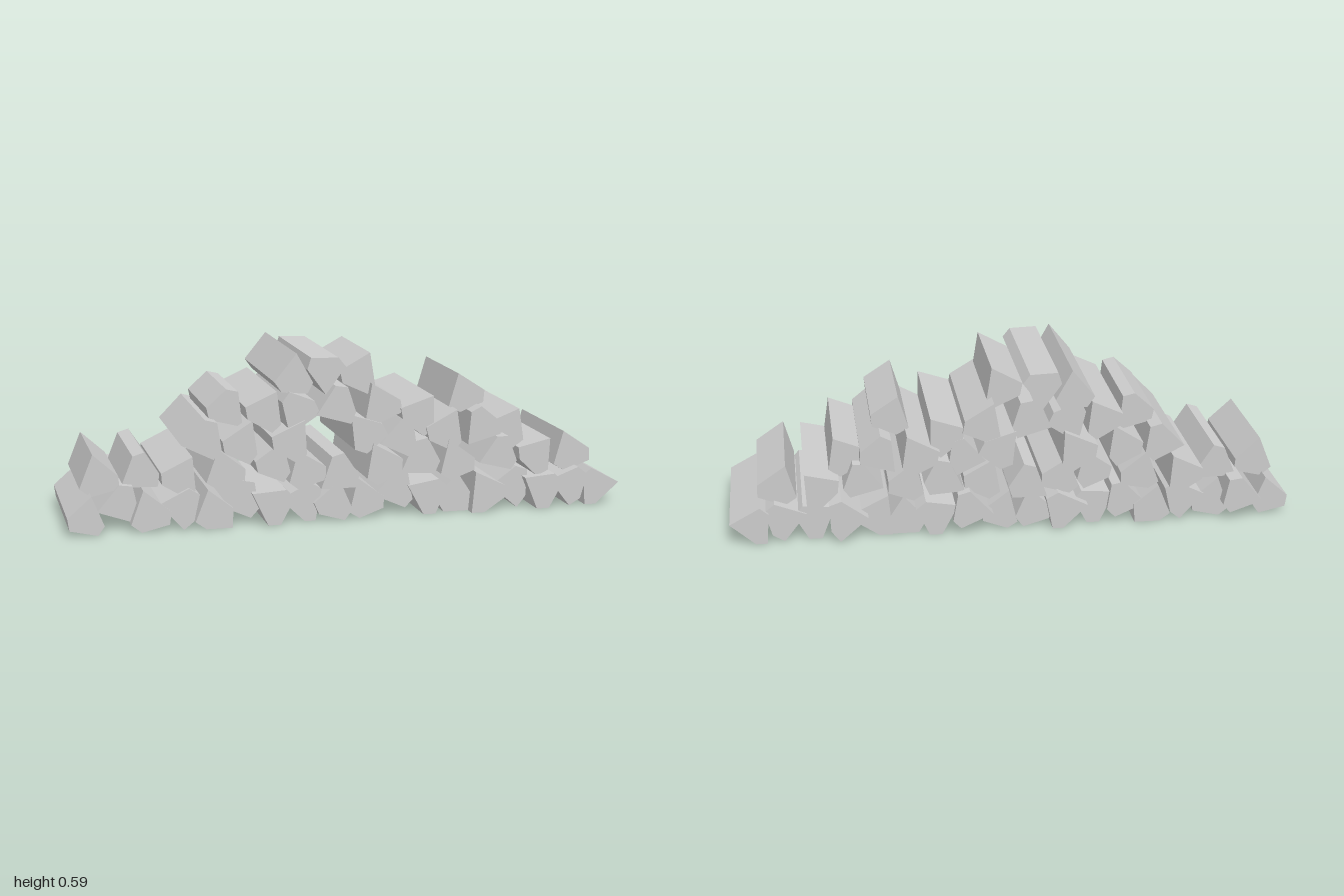
import * as THREE from 'three';

// Small seeded generator for natural variation between logs
let seed = 7;
const rand = (a, b) => {
  seed = (seed * 16807) % 2147483647;
  return a + (b - a) * (seed / 2147483647);
};

// Each log: x, y, direction of the split edge in degrees, then optional back and front z
const courses = {
  groundLog: [
    [-0.935, 0.075, 75, -0.24, 0.285], [-0.82, 0.095, 195, -0.29, 0.24], [-0.72, 0.075, 105, -0.24, 0.28],
    [-0.615, 0.085, 170], [-0.5, 0.075, 105, -0.26, 0.285], [-0.4, 0.09, 190],
    [-0.295, 0.08, 150, -0.24, 0.285], [-0.185, 0.075, 170], [-0.07, 0.08, 75], [0.045, 0.075, 110],
    [0.155, 0.095, 190, -0.29, 0.25], [0.27, 0.08, 155], [0.385, 0.075, 85], [0.485, 0.085, 120, -0.25, 0.285],
    [0.59, 0.09, 180, -0.29, 0.24], [0.695, 0.085, 150, -0.25, 0.28], [0.805, 0.085, 165],
    [0.925, 0.075, 5, -0.27, 0.26],
  ],
  secondLog: [
    [-0.885, 0.2, 105, -0.18, 0.23], [-0.745, 0.195, 215, -0.22, 0.21], [-0.605, 0.19, 60, -0.27, 0.26],
    [-0.455, 0.2, 105], [-0.275, 0.225, 70], [-0.175, 0.195, 110],
    [-0.055, 0.165, 215], [0.105, 0.2, 115], [0.245, 0.2, 210], [0.375, 0.2, 110],
    [0.53, 0.21, 200], [0.69, 0.2, 50, -0.27, 0.25], [0.825, 0.2, 110, -0.22, 0.22],
  ],
  thirdLog: [
    [-0.53, 0.31, 190, -0.27, 0.26], [-0.39, 0.3, 65], [-0.215, 0.3, 60], [0.045, 0.315, 130],
    [0.17, 0.28, 190], [0.345, 0.31, 65], [0.47, 0.31, 230], [0.595, 0.3, 60, -0.21, 0.21],
  ],
  fourthLog: [
    [-0.43, 0.4, -50, -0.2, 0.2], [-0.31, 0.41, 60], [-0.2, 0.39, 250], [-0.06, 0.41, 200],
    [0.105, 0.41, 115, -0.26, 0.25], [0.25, 0.37, 55, -0.25, 0.26], [0.425, 0.43, 110, -0.19, 0.21],
  ],
  topLog: [
    [-0.205, 0.52, 85, -0.285, 0.25], [-0.1, 0.525, -90, -0.26, 0.27], [0.04, 0.52, 65, -0.19, 0.22],
  ],
};

// Wedge section: split edge, then the faceted bark side
const section = [[0.075, 0], [-0.025, 0.074], [-0.06, 0.045], [-0.062, -0.055], [-0.02, -0.07]];

function makeLog([x, y, degrees, back, front], material) {
  const angle = THREE.MathUtils.degToRad(degrees);
  const points = section.map(([u, v]) => {
    const p = new THREE.Vector2(u * rand(0.93, 1.07), v * rand(0.9, 1.05)).rotateAround(new THREE.Vector2(), angle);
    // Low corners settle flat on the ground, and logs stay within the stack's ends
    const height = y + p.y;
    return new THREE.Vector2(THREE.MathUtils.clamp(x + p.x, -1, 1), height < 0.025 ? 0.005 : height);
  });
  const z0 = back ?? rand(-0.28, -0.24);
  const z1 = front ?? rand(0.24, 0.28);
  const geometry = new THREE.ExtrudeGeometry(new THREE.Shape(points), { depth: z1 - z0, bevelEnabled: false });
  geometry.translate(0, 0, z0);
  return new THREE.Mesh(geometry, material);
}

export function createModel() {
  seed = 7;
  const model = new THREE.Group();
  model.name = 'firewoodStack';
  const wood = new THREE.MeshStandardMaterial({ color: 0xcccccc, flatShading: true });
  for (const [name, logs] of Object.entries(courses)) {
    const course = new THREE.Group();
    course.name = name.replace('Log', 'Course');
    logs.forEach((log, i) => {
      const mesh = makeLog(log, wood);
      mesh.name = `${name}${i + 1}`;
      course.add(mesh);
    });
    model.add(course);
  }
  return model;
}
